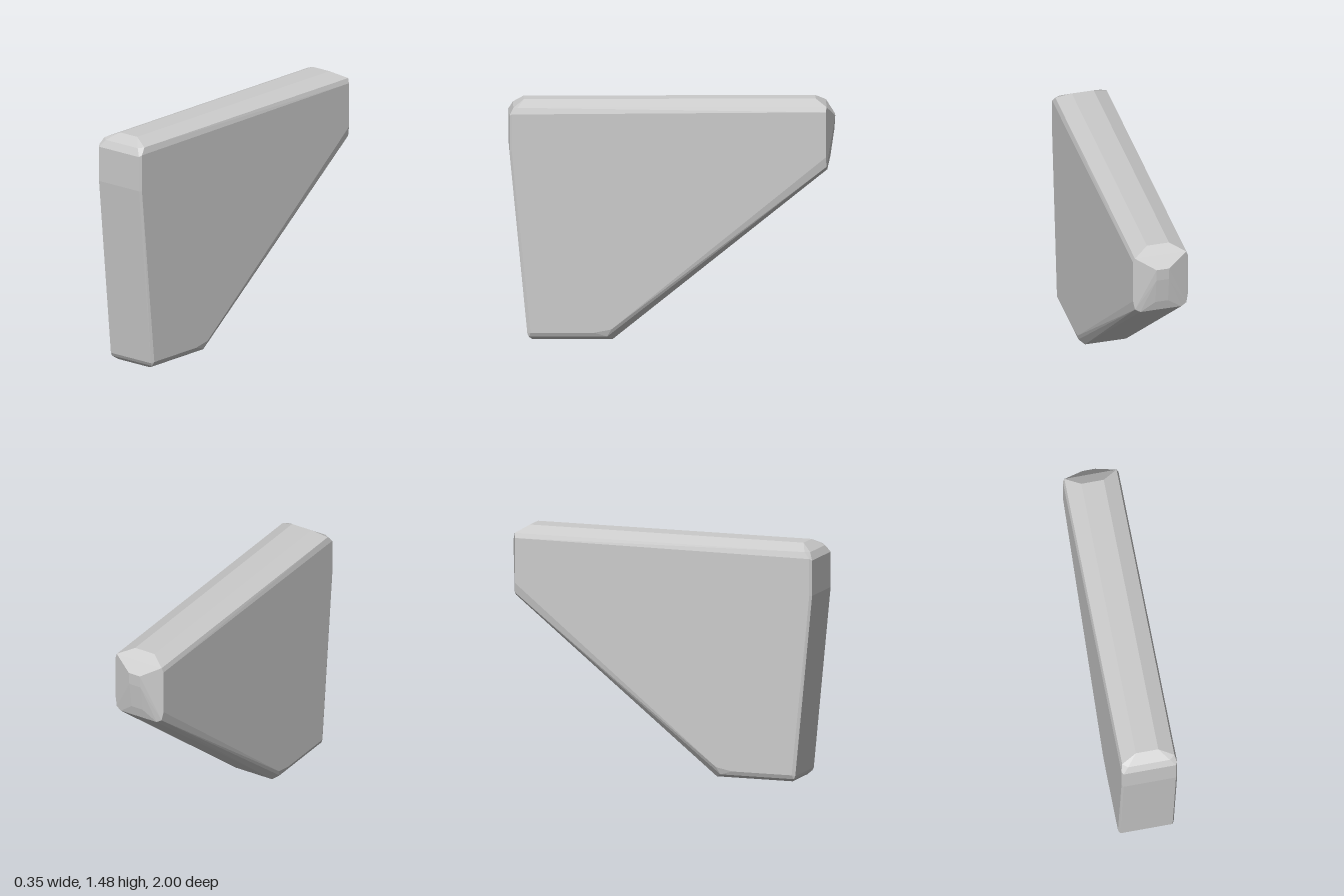
import * as THREE from 'three';
import { ConvexGeometry } from 'three/addons/geometries/ConvexGeometry.js';

// Each loop is a side outline [z, y] placed at half-width x and mirrored.
const loops = [
  // flat side panel
  { x: 0.174, outline: [[0.985, 1.4], [0.985, 1.17], [0.87, 0.045], [0.48, 0.045], [0.375, 0.065], [-0.94, 1.13], [-0.94, 1.41]] },
  // bevel around the panel: front face, diagonal underside and top shoulder
  { x: 0.163, outline: [[1, 1.39], [1, 1.17], [0.89, 0.04], [0.88, 0.02], [0.4, 0.02], [-0.945, 1.07], [-0.945, 1.44], [0.95, 1.44]] },
  // narrower rims of the foot and diagonal
  { x: 0.13, outline: [[0.86, 0], [0.365, 0], [-0.95, 1.05], [0.975, 1.435]] },
  // crown of the top
  { x: 0.07, outline: [[0.91, 1.48], [-0.88, 1.48]] },
  // blunt point of the back
  { x: 0.04, outline: [[-1, 1.37], [-0.995, 1.29], [-0.97, 1.12]] },
];

export function createModel() {
  const points = [];
  for (const { x, outline } of loops)
    for (const [z, y] of outline)
      for (const side of [-1, 1]) points.push(new THREE.Vector3(side * x, y, z));

  const block = new THREE.Mesh(
    new ConvexGeometry(points),
    new THREE.MeshStandardMaterial({ color: 0xcccccc, flatShading: true })
  );
  block.name = 'bevelledWedgeBlock';

  const group = new THREE.Group();
  group.name = 'wedgeBlock';
  group.add(block);
  return group;
}
